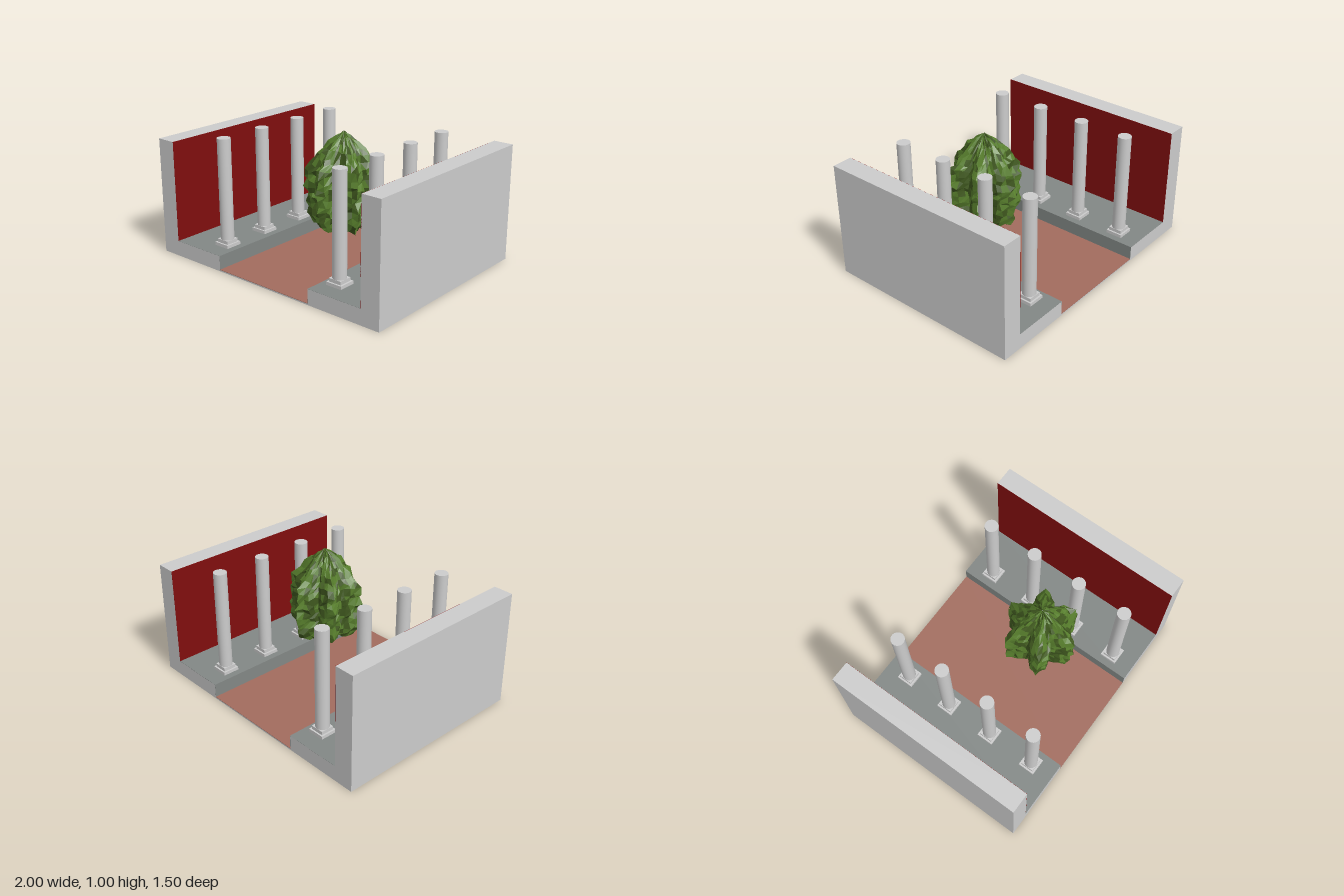
import * as THREE from 'three';

const paint = (name, color) => {
  const m = new THREE.MeshStandardMaterial({ color });
  m.name = name;
  return m;
};

export function createModel() {
  const stone = paint('pale stone', 0xcccccc);
  const slate = paint('slate paving', 0x828785);
  const red = paint('red wall paint', 0x800e0e);
  const clay = paint('terracotta floor', 0xa26c5e);
  const bark = paint('grey bark', 0x7c817e);
  const leaf = paint('leaf green', 0x587f2d);
  const darkLeaf = paint('shaded leaf green', 0x40591f);

  const model = new THREE.Group();
  model.name = 'courtyard';
  const add = (parent, name, geometry, material, x = 0, y = 0, z = 0) => {
    const mesh = new THREE.Mesh(geometry, material);
    mesh.name = name;
    mesh.position.set(x, y, z);
    parent.add(mesh);
    return mesh;
  };
  const box = (w, h, d) => new THREE.BoxGeometry(w, h, d);

  // Walls, raised walkways and sunken floor share one stepped section
  const depth = 1.5;
  const half = [[0.415, 0.01], [0.415, 0.115], [0.852, 0.115], [0.852, 0.865], [1, 0.865], [1, 0]];
  const outline = [...half, ...half.map(([x, y]) => [-x, y]).reverse()];
  const section = new THREE.Shape(outline.map(([x, y]) => new THREE.Vector2(x, y)));
  const shell = new THREE.ExtrudeGeometry(section, { depth, bevelEnabled: false });
  add(model, 'courtyardShell', shell, stone, 0, 0, -depth / 2);

  // Thin coloured finishes
  add(model, 'courtFloor', box(0.83, 0.003, depth), clay, 0, 0.0112, 0);
  for (const s of [-1, 1]) {
    add(model, 'walkwayPaving', box(0.437, 0.002, depth), slate, s * 0.6335, 0.115, 0);
    add(model, 'walkwayRiser', box(0.002, 0.103, depth), slate, s * 0.415, 0.0645, 0);
    add(model, 'wallPaint', box(0.002, 0.749, depth), red, s * 0.852, 0.4905, 0);
  }

  // Two rows of columns on stepped plinths
  const shaft = new THREE.CylinderGeometry(0.049, 0.049, 0.75, 28);
  for (const x of [-0.528, 0.528]) {
    for (const z of [-0.5625, -0.1875, 0.1875, 0.5625]) {
      const column = new THREE.Group();
      column.name = 'column';
      column.position.set(x, 0.115, z);
      add(column, 'plinth', box(0.126, 0.025, 0.126), stone, 0, 0.0125, 0);
      add(column, 'plinthStep', box(0.1, 0.025, 0.1), stone, 0, 0.0375, 0);
      add(column, 'shaft', shaft, stone, 0, 0.425, 0);
      model.add(column);
    }
  }

  // Tree
  const tree = new THREE.Group();
  tree.name = 'tree';
  tree.position.set(0.19, 0, 0.12);
  model.add(tree);

  const trunk = [[0.033, 0.012], [0.025, 0.04], [0.023, 0.14], [0.019, 0.24], [0.014, 0.38], [0, 0.5]];
  add(tree, 'trunk', new THREE.LatheGeometry(trunk.map(([r, y]) => new THREE.Vector2(r, y)), 10), bark);
  for (let i = 0; i < 5; i++) {
    const a = (i + 0.25) * Math.PI * 0.4;
    const at = (r, y) => new THREE.Vector3(Math.sin(a) * r, y, Math.cos(a) * r);
    const path = new THREE.CatmullRomCurve3([at(0.005, 0.22), at(0.03, 0.275), at(0.075, 0.37)]);
    add(tree, 'branch', new THREE.TubeGeometry(path, 6, 0.008, 6), bark);
  }

  // Crown: rough six-lobed star rings, narrowing to the top
  let seed = 7;
  const rand = () => (seed = (seed * 16807) % 2147483647) / 2147483647;
  const levels = [0.37, 0.33, 0.36, 0.4, 0.44, 0.48, 0.52, 0.56, 0.6, 0.64, 0.68, 0.72, 0.76, 0.8, 0.84, 0.88, 0.92, 0.96, 0.99];
  const reach = [0, 0.21, 0.235, 0.262, 0.268, 0.265, 0.268, 0.265, 0.275, 0.28, 0.268, 0.262, 0.25, 0.21, 0.185, 0.15, 0.105, 0.06, 0.005];
  const perLobe = 8;
  const count = perLobe * 6;
  const rings = levels.map((y, i) => Array.from({ length: count }, (_, j) => {
    const a = (j / count) * Math.PI * 2;
    const k = Math.abs((j % perLobe) / perLobe - 0.5) * 2; // 1 on a lobe tip, 0 in a valley
    const r = reach[i] * (0.6 + 0.4 * k) * (0.91 + 0.16 * rand());
    const turn = a + (rand() - 0.5) * 0.09;
    const lift = i === 0 ? 0 : (rand() - 0.5) * 0.028;
    return [Math.sin(turn) * r, y + lift, Math.cos(turn) * r];
  }));
  const faces = { light: [], dark: [] };
  for (let i = 0; i + 1 < rings.length; i++) {
    for (let j = 0; j < count; j++) {
      const n = (j + 1) % count;
      const [a, b, c, d] = [rings[i][j], rings[i][n], rings[i + 1][n], rings[i + 1][j]];
      const inValley = Math.abs((j % perLobe) + 0.5 - perLobe / 2) < 2;
      const list = rand() < (inValley ? 0.65 : 0.25) ? faces.dark : faces.light;
      list.push(...a, ...b, ...c, ...a, ...c, ...d);
    }
  }
  const foliage = (points) => {
    const g = new THREE.BufferGeometry();
    g.setAttribute('position', new THREE.Float32BufferAttribute(points, 3));
    g.computeVertexNormals();
    return g;
  };
  add(tree, 'foliage', foliage(faces.light), leaf);
  add(tree, 'shadedFoliage', foliage(faces.dark), darkLeaf);

  return model;
}
